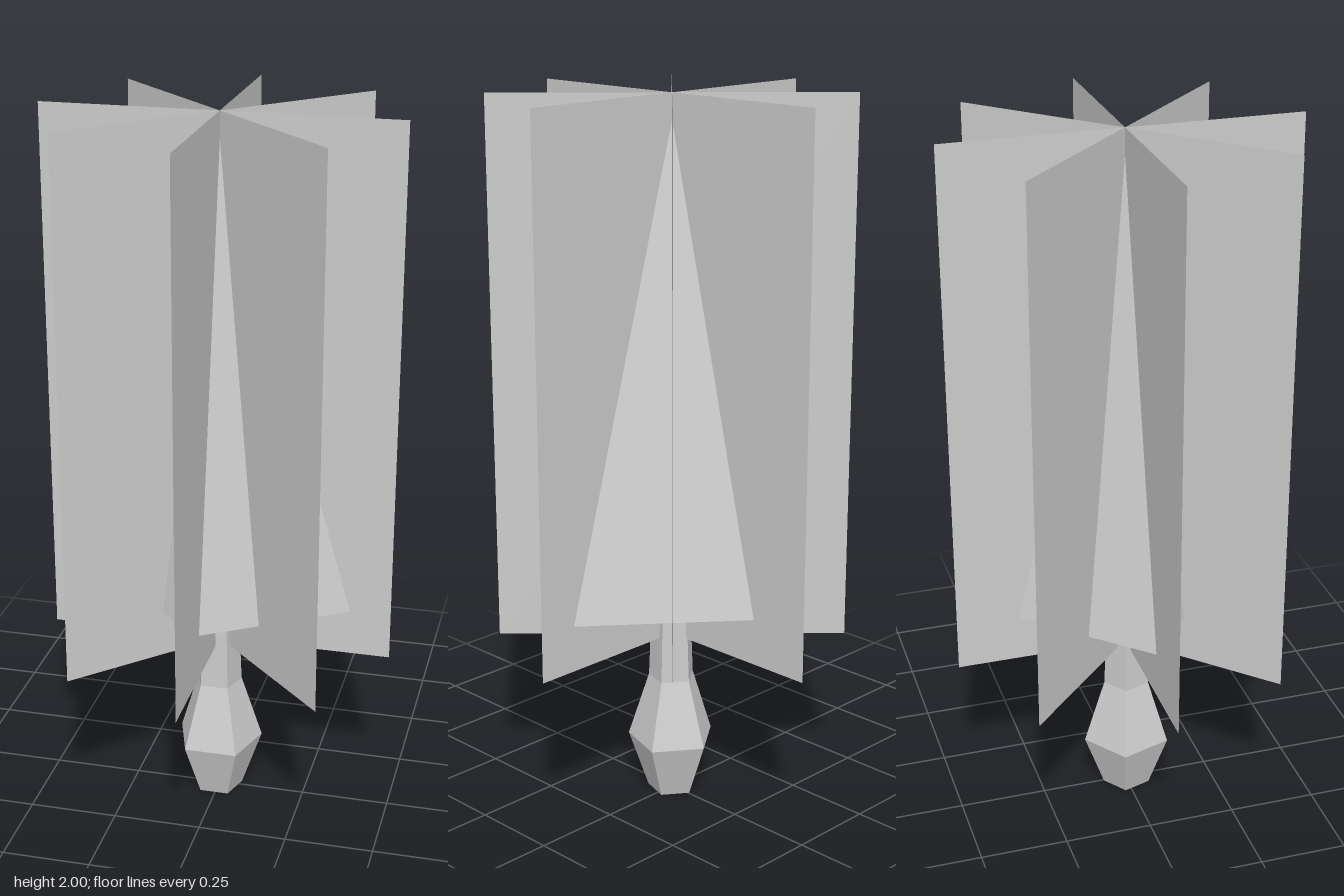
import * as THREE from 'three';

const material = new THREE.MeshStandardMaterial({ color: 0xcccccc, flatShading: true });
const thinMaterial = new THREE.MeshStandardMaterial({ color: 0xcccccc, flatShading: true, side: THREE.DoubleSide });

function addMesh(parent, name, geometry, mat) {
  const mesh = new THREE.Mesh(geometry, mat);
  mesh.name = name;
  parent.add(mesh);
  return mesh;
}

// Lopsided four-sided cone, open underneath
function crownGeometry(baseY, apexY) {
  const ring = [[0, 0.24], [0.375, 0], [0, -0.312], [-0.293, 0]];
  const points = [];
  ring.forEach(([x, z], i) => {
    const [nx, nz] = ring[(i + 1) % ring.length];
    points.push(x, baseY, z, nx, baseY, nz, 0, apexY, 0);
  });
  const geometry = new THREE.BufferGeometry();
  geometry.setAttribute('position', new THREE.Float32BufferAttribute(points, 3));
  geometry.computeVertexNormals();
  return geometry;
}

export function createModel() {
  const model = new THREE.Group();
  model.name = 'tree';

  // Five-sided trunk, bulging near the ground
  const profile = [[0, 0], [0.07, 0], [0.127, 0.16], [0.067, 0.35], [0.055, 0.65], [0, 0.65]]
    .map(([r, y]) => new THREE.Vector2(r, y));
  const trunk = addMesh(model, 'trunk', new THREE.LatheGeometry(profile, 5, Math.PI), material);
  trunk.position.set(-0.003, 0, 0.003);

  // Solid foliage core
  addMesh(model, 'crown', crownGeometry(0.61, 1.93), thinMaterial);

  // Four upright foliage sheets crossing on the axis
  const sheets = new THREE.Group();
  sheets.name = 'foliageSheets';
  model.add(sheets);
  for (let i = 0; i < 4; i++) {
    const sheet = addMesh(sheets, 'foliageSheet', new THREE.PlaneGeometry(0.98, 1.52), thinMaterial);
    sheet.position.y = 1.24;
    sheet.rotation.y = (i * Math.PI) / 4;
  }
  return model;
}
